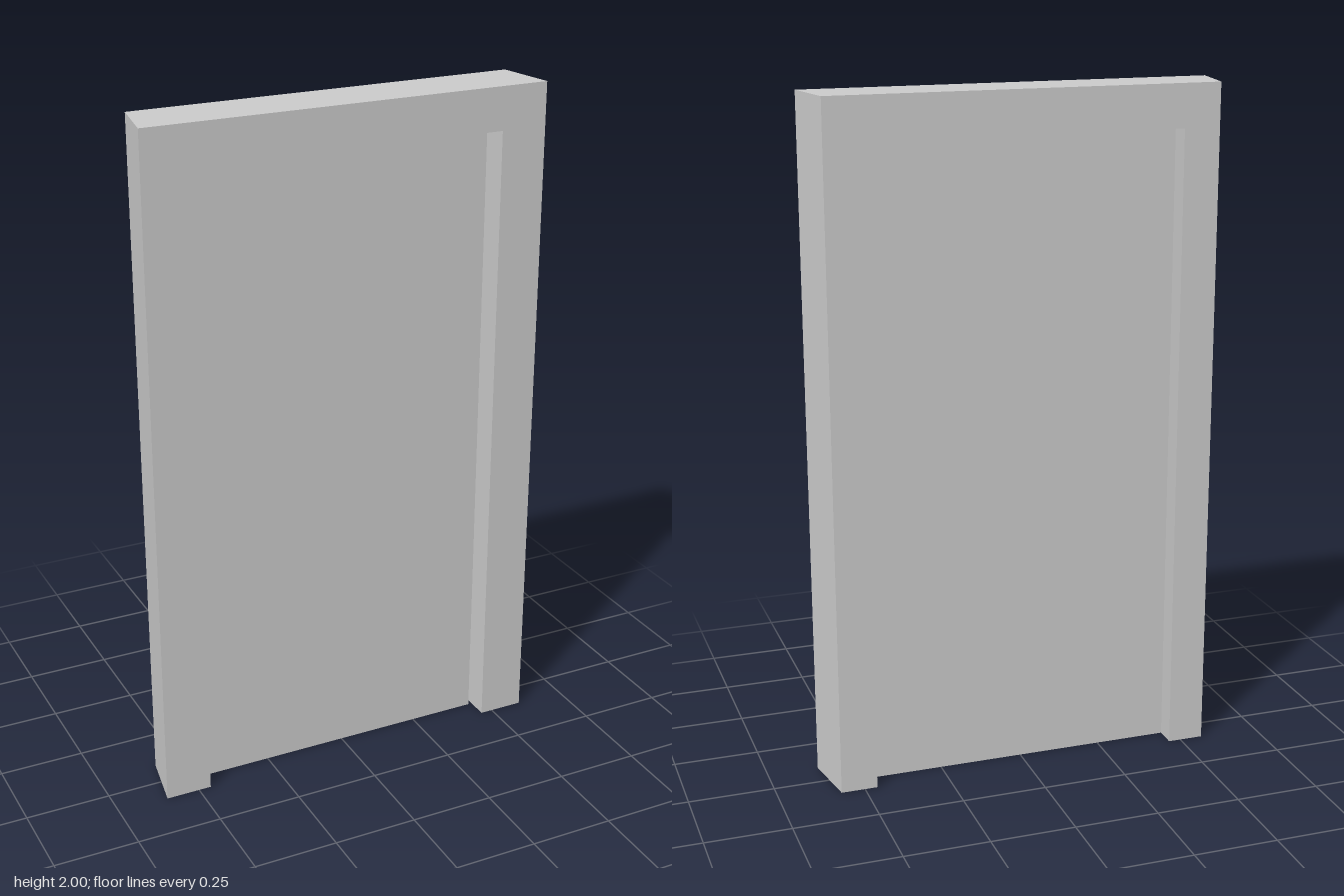
import * as THREE from 'three';

const W = 0.6, H = 2, DEPTH = 0.177;      // frame at its wide front face
const BACK_W = 0.57;                      // half width at the back face
const OPEN_W = 0.463, OPEN_H = 1.875;     // doorway opening
const GAP = 0.012, DOOR_T = 0.05;         // slit beside the leaf, leaf thickness

export function createModel() {
  const group = new THREE.Group();
  const material = new THREE.MeshStandardMaterial({ color: 0xcccccc, flatShading: true });

  // Frame: two posts and a lintel as one upside-down U
  const outline = new THREE.Shape([
    [-W, 0], [-OPEN_W, 0], [-OPEN_W, OPEN_H], [OPEN_W, OPEN_H],
    [OPEN_W, 0], [W, 0], [W, H], [-W, H],
  ].map(([x, y]) => new THREE.Vector2(x, y)));
  const frameGeometry = new THREE.ExtrudeGeometry(outline, { depth: DEPTH, bevelEnabled: false });
  frameGeometry.translate(0, 0, -DEPTH / 2);

  // Splay the outer sides: narrower at the back
  const pos = frameGeometry.attributes.position;
  for (let i = 0; i < pos.count; i++) {
    const x = pos.getX(i);
    if (Math.abs(x) > OPEN_W + 0.01 && pos.getZ(i) < 0) pos.setX(i, Math.sign(x) * BACK_W);
  }
  frameGeometry.computeVertexNormals();
  const frame = new THREE.Mesh(frameGeometry, material);
  frame.name = 'doorFrame';
  group.add(frame);

  // Door leaf: set mid-depth, with a narrow slit on its left edge
  const leafW = 2 * OPEN_W - GAP, leafH = OPEN_H - 0.002;
  const leaf = new THREE.Mesh(new THREE.BoxGeometry(leafW, leafH, DOOR_T), material);
  leaf.position.set(-GAP / 2, leafH / 2, 0);
  leaf.name = 'doorLeaf';
  group.add(leaf);

  return group;
}
